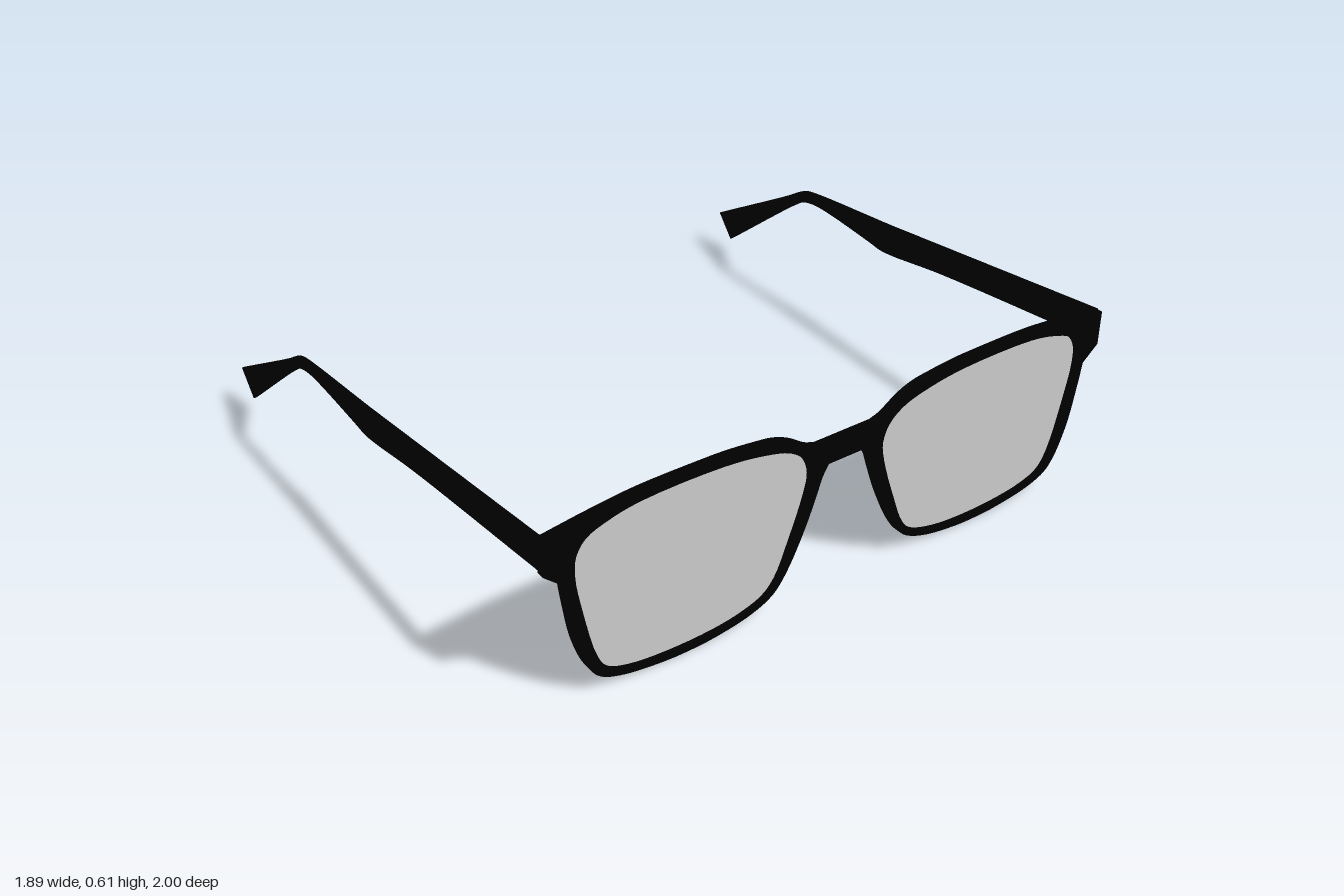
import * as THREE from 'three';

const FRAME_X = 0.915, FRAME_DEPTH = 0.027, TEMPLE_THICK = 0.01;

// Smooth 2D points through a list of [u, v] pairs
function smooth(pairs, count, closed = false) {
  const curve = new THREE.CatmullRomCurve3(
    pairs.map(([u, v]) => new THREE.Vector3(u, v, 0)), closed, 'centripetal');
  const pts = curve.getPoints(count).map(p => new THREE.Vector2(p.x, p.y));
  if (closed) pts.pop();
  return pts;
}

const mirror = pts => pts.map(p => new THREE.Vector2(-p.x, p.y)).reverse();

// Flat outline extruded towards +x, starting at the given x
function plate(shape, x, depth) {
  const g = new THREE.ExtrudeGeometry(shape, { depth, bevelEnabled: false });
  g.rotateY(Math.PI / 2);
  g.translate(x, 0, 0);
  return g;
}

function addMesh(group, name, geometry, material) {
  const mesh = new THREE.Mesh(geometry, material);
  mesh.name = name;
  group.add(mesh);
}

export function createModel() {
  const model = new THREE.Group();
  model.name = 'glasses';
  const black = new THREE.MeshStandardMaterial({ color: 0x000000 });
  const tinted = new THREE.MeshStandardMaterial({ color: 0xc0c0c0 });

  // Half outline of the front: bridge and brow, then hinge corner, rim and nose side
  const brow = smooth([
    [0.1, 0.51], [0.135, 0.522], [0.195, 0.56], [0.25, 0.582], [0.32, 0.593],
    [0.41, 0.602], [0.5, 0.605], [0.7, 0.605], [0.84, 0.593], [1, 0.573]], 36);
  const rim = smooth([
    [0.945, 0.412], [0.933, 0.33], [0.908, 0.2], [0.868, 0.097], [0.833, 0.054],
    [0.76, 0.024], [0.62, 0.003], [0.54, 0], [0.46, 0.003], [0.33, 0.024], [0.25, 0.059],
    [0.205, 0.112], [0.14, 0.245], [0.1, 0.355], [0.085, 0.4], [0.065, 0.437]], 64);
  const half = [...brow, new THREE.Vector2(1, 0.46), ...rim];

  // Lens opening
  const lens = smooth([
    [0.9, 0.483], [0.87, 0.527], [0.8, 0.555], [0.7, 0.573], [0.435, 0.573],
    [0.3, 0.555], [0.205, 0.527], [0.155, 0.486], [0.135, 0.43], [0.145, 0.365],
    [0.193, 0.22], [0.237, 0.113], [0.277, 0.07], [0.345, 0.044], [0.45, 0.028],
    [0.62, 0.028], [0.74, 0.044], [0.805, 0.071], [0.84, 0.125], [0.885, 0.3],
    [0.905, 0.42]], 84, true);

  // Front frame with both openings
  const frame = new THREE.Shape([...half, ...mirror(half)]);
  frame.holes.push(new THREE.Path(lens), new THREE.Path(mirror(lens)));
  addMesh(model, 'frontFrame', plate(frame, FRAME_X, FRAME_DEPTH), black);

  // Lenses, set in the middle of the frame depth
  const lensX = FRAME_X + FRAME_DEPTH / 2 - 0.003;
  addMesh(model, 'rightLens', plate(new THREE.Shape(lens), lensX, 0.006), tinted);
  addMesh(model, 'leftLens', plate(new THREE.Shape(mirror(lens)), lensX, 0.006), tinted);

  // Temples: side profile with the bend over the ear
  const upper = smooth([
    [0, 0.474], [-0.395, 0.436], [-0.446, 0.426], [-0.49, 0.405],
    [-0.537, 0.375], [-0.945, 0.139]], 40);
  const lower = smooth([
    [-0.874, 0.055], [-0.48, 0.365], [-0.446, 0.383], [-0.395, 0.393],
    [-0.32, 0.393], [-0.093, 0.372], [-0.033, 0.365], [0.033, 0.37],
    [0.26, 0.403], [0.925, 0.469]], 54);
  const profile = new THREE.Shape([new THREE.Vector2(0.925, 0.576), ...upper, ...lower]);
  for (const [name, z] of [['leftTemple', 1 - TEMPLE_THICK], ['rightTemple', -1]]) {
    const g = new THREE.ExtrudeGeometry(profile, { depth: TEMPLE_THICK, bevelEnabled: false });
    g.translate(0, 0, z);
    addMesh(model, name, g, black);
  }
  return model;
}
